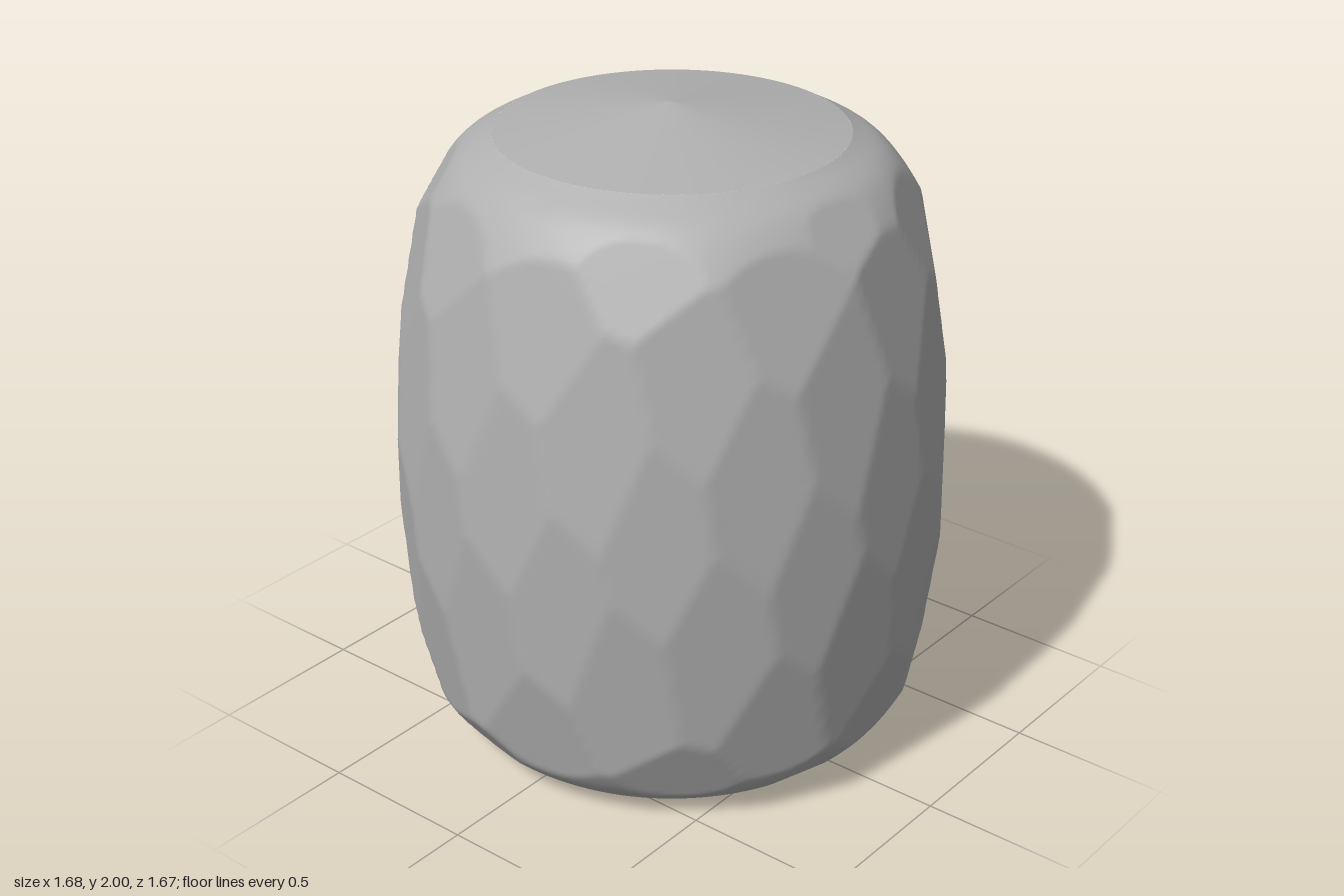
import * as THREE from 'three';

const GOLDEN = THREE.MathUtils.degToRad(137.508);
const SEGMENTS = 240, ROWS = 120;
const RIM_TOP = 1.92, RIM_RADIUS = 0.52;

// Barrel profile (radius, height) from the bottom rim to the top rim
const profile = new THREE.CatmullRomCurve3([
  [0.52, 0], [0.61, 0.018], [0.685, 0.08], [0.735, 0.17], [0.777, 0.32], [0.807, 0.53],
  [0.826, 0.84], [0.82, 1.06], [0.802, 1.27], [0.765, 1.5], [0.7, 1.72], [0.62, 1.855],
  [RIM_RADIUS, RIM_TOP],
].map(([r, y]) => new THREE.Vector3(r, y, 0)), false, 'centripetal');

const samples = profile.getSpacedPoints(400);

// Profile point and outward normal at a height
function profileAt(y) {
  let i = 1;
  while (i < samples.length - 2 && samples[i].y < y) i++;
  const p = samples[i], d = samples[i + 1].clone().sub(samples[i - 1]).normalize();
  return { r: p.x, y: p.y, nr: d.y, ny: -d.x };
}

// Facet planes, tangent to the barrel, winding up it by the golden angle
function facetPlanes() {
  const planes = [];
  for (let i = -45; i <= 35; i++) {
    const y = 1.08 + i * 0.0235;
    if (y < 0.03 || y > 1.89) continue;
    const angle = THREE.MathUtils.degToRad(4) + i * GOLDEN;
    const p = profileAt(y);
    planes.push({ angle, nr: p.nr, ny: p.ny, d: p.nr * p.r + p.ny * p.y });
  }
  return planes;
}

// Rounded wall cut flat by every facet plane
function bodyGeometry() {
  const planes = facetPlanes();
  const positions = [], index = [];
  for (let j = 0; j <= ROWS; j++) {
    const p = profile.getPointAt(j / ROWS);
    const swell = 1 + 0.05 * Math.min(1, Math.min(p.y, RIM_TOP - p.y) / 0.25);
    for (let k = 0; k < SEGMENTS; k++) {
      const a = (k / SEGMENTS) * Math.PI * 2;
      let r = p.x * swell;
      for (const f of planes) {
        const c = f.nr * Math.cos(a - f.angle);
        if (c > 0.05) r = Math.min(r, (f.d - f.ny * p.y) / c);
      }
      positions.push(r * Math.sin(a), p.y, r * Math.cos(a));
      if (j < ROWS) {
        const n = (k + 1) % SEGMENTS, lo = j * SEGMENTS, hi = lo + SEGMENTS;
        index.push(lo + k, lo + n, hi + n, lo + k, hi + n, hi + k);
      }
    }
  }
  const geometry = new THREE.BufferGeometry();
  geometry.setAttribute('position', new THREE.Float32BufferAttribute(positions, 3));
  geometry.setIndex(index);
  geometry.computeVertexNormals();
  return geometry;
}

export function createModel() {
  const group = new THREE.Group();
  group.name = 'facetedBarrel';
  const grey = new THREE.MeshStandardMaterial({ color: 0xb0b0b0 });
  grey.name = 'grey';

  const add = (name, geometry, y = 0) => {
    const mesh = new THREE.Mesh(geometry, grey);
    mesh.name = name;
    mesh.position.y = y;
    group.add(mesh);
    return mesh;
  };

  add('facetedBody', bodyGeometry());

  // Shallow pointed lid
  const lidHeight = 2 - RIM_TOP;
  add('topCone', new THREE.ConeGeometry(RIM_RADIUS, lidHeight, 96, 1, true), RIM_TOP + lidHeight / 2);

  // Flat underside
  add('bottomDisc', new THREE.CircleGeometry(RIM_RADIUS, 96)).rotation.x = Math.PI / 2;

  return group;
}
